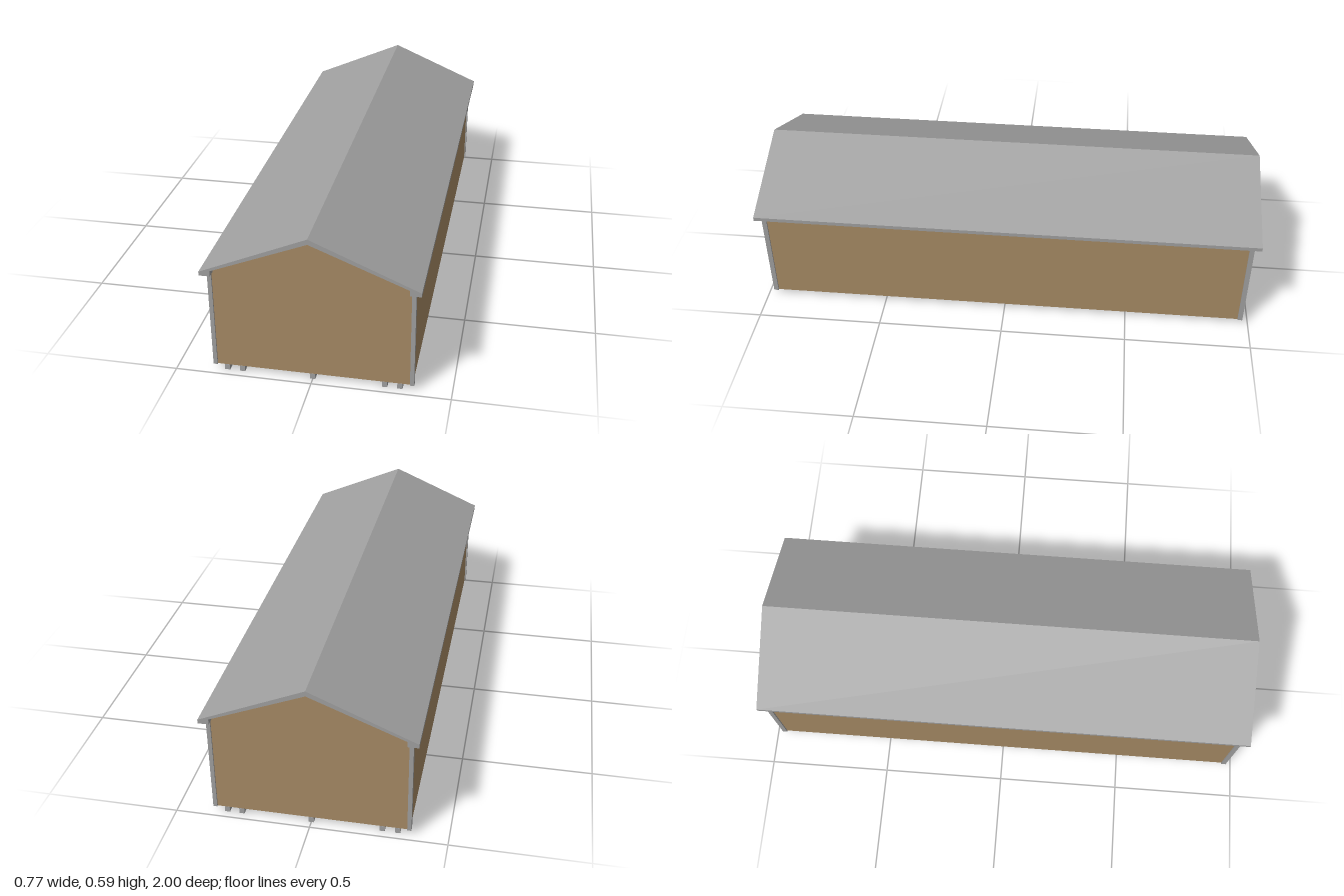
import * as THREE from 'three';

export function createModel() {
  const model = new THREE.Group();
  model.name = 'shed';
  const tan = new THREE.MeshStandardMaterial({ color: 0xa68a64, side: THREE.DoubleSide });
  tan.name = 'tan siding';
  const grey = new THREE.MeshStandardMaterial({ color: 0xa0a0a0 });
  grey.name = 'grey trim';

  const add = (name, geometry, material, x = 0, y = 0, z = 0) => {
    const mesh = new THREE.Mesh(geometry, material);
    mesh.name = name;
    mesh.position.set(x, y, z);
    model.add(mesh);
    return mesh;
  };
  const shapeOf = (points) => new THREE.Shape(points.map(([x, y]) => new THREE.Vector2(x, y)));

  const floorY = 0.022, wallX = 0.36, endZ = 0.97;
  const eaveY = 0.407, innerX = 0.347, innerY = 0.428, innerPeak = 0.568;

  // Roof: one solid gabled section with boxed eaves, run along the length
  const roof = shapeOf([
    [-0.387, eaveY], [-innerX, eaveY], [-innerX, innerY], [0, innerPeak],
    [innerX, innerY], [innerX, eaveY], [0.387, eaveY], [0.387, 0.422],
    [0, 0.588], [-0.387, 0.422],
  ]);
  add('roof', new THREE.ExtrudeGeometry(roof, { depth: 2, bevelEnabled: false }), grey, 0, 0, -1);

  // Gable end walls
  const gable = shapeOf([
    [-wallX, floorY], [wallX, floorY], [wallX, 0.415], [innerX, innerY],
    [0, innerPeak], [-innerX, innerY], [-wallX, 0.415],
  ]);
  for (const [name, s] of [['frontWall', 1], ['backWall', -1]]) {
    const wall = add(name, new THREE.ShapeGeometry(gable), tan, 0, 0, s * endZ);
    if (s < 0) wall.rotation.y = Math.PI;
  }

  const slope = Math.atan2(innerPeak - innerY, innerX);
  for (const [side, s] of [['left', 1], ['right', -1]]) {
    // Long side wall, open underneath
    const wallHeight = 0.412 - floorY;
    const wall = add(side + 'Wall', new THREE.PlaneGeometry(endZ * 2, wallHeight), tan,
      s * wallX, floorY + wallHeight / 2, 0);
    wall.rotation.y = s * Math.PI / 2;

    // Ceiling lining just below the roof
    const lining = new THREE.PlaneGeometry(Math.hypot(innerX, innerPeak - innerY), endZ * 2);
    lining.rotateX(Math.PI / 2);
    const ceiling = add(side + 'Ceiling', lining, tan,
      s * innerX / 2, (innerY + innerPeak) / 2 - 0.002, 0);
    ceiling.rotation.z = -s * slope;

    // Corner posts
    for (const [end, e] of [['Front', 1], ['Back', -1]]) {
      add(side + end + 'CornerPost', new THREE.BoxGeometry(0.015, eaveY - floorY, 0.019), grey,
        s * 0.3585, (eaveY + floorY) / 2, e * 0.9665);
    }
  }

  // Skids under the building
  [-0.316, -0.26, 0, 0.26, 0.315].forEach((x, i) => {
    add('skid' + (i + 1), new THREE.BoxGeometry(0.019, floorY, 1.942), grey, x, floorY / 2, 0);
  });

  return model;
}
